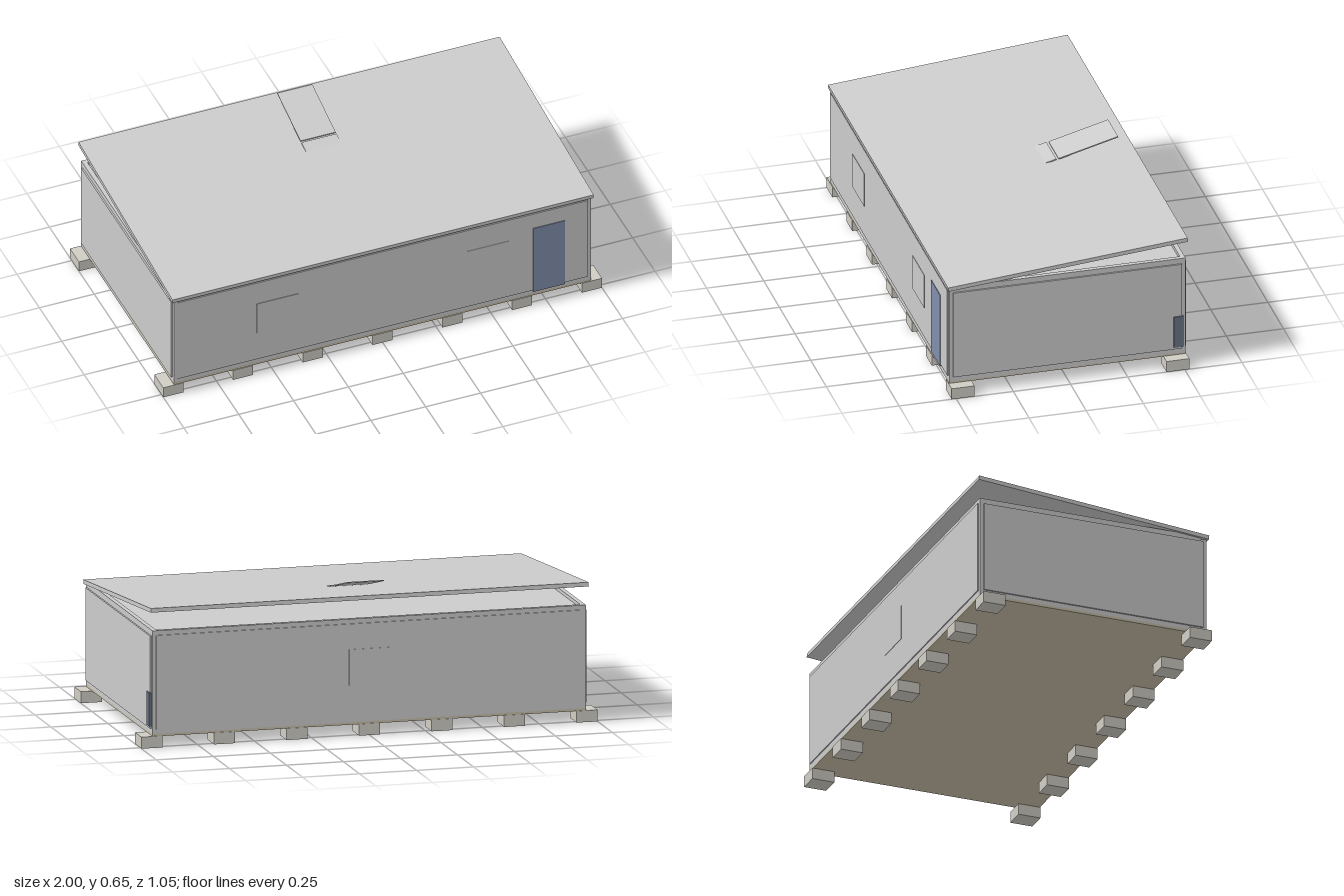
import * as THREE from 'three';

const paint = (color) => new THREE.MeshStandardMaterial({ color, flatShading: true });
const grey = paint(0xcccccc);
const concrete = paint(0xd0cdc4);
const floorPaint = paint(0xc8bfa8);
const doorBlue = paint(0x818ead);
const hatchBlue = paint(0x687384);

export function createModel() {
  const model = new THREE.Group();

  // Box given by its min and max on each axis
  const block = (name, [x0, x1], [y0, y1], [z0, z1], material = grey) => {
    const mesh = new THREE.Mesh(new THREE.BoxGeometry(x1 - x0, y1 - y0, z1 - z0), material);
    mesh.position.set((x0 + x1) / 2, (y0 + y1) / 2, (z0 + z1) / 2);
    mesh.name = name;
    model.add(mesh);
    return mesh;
  };

  // Sloping plate whose lower edge line runs between two (z, y) points
  const slope = (name, halfWidth, [z0, y0], [z1, y1], thickness) => {
    const length = Math.hypot(z1 - z0, y1 - y0);
    const mesh = new THREE.Mesh(new THREE.BoxGeometry(halfWidth * 2, thickness, length), grey);
    mesh.position.set(0, (y0 + y1) / 2 + thickness / 2, (z0 + z1) / 2);
    mesh.rotation.x = Math.atan2(y1 - y0, z0 - z1);
    mesh.name = name;
    model.add(mesh);
  };

  // Foundation blocks in two rows of seven
  for (const side of [-1, 1]) {
    for (let i = -3; i <= 3; i++) {
      const x = i * 0.318;
      block('foundationBlock', [x - 0.046, x + 0.046], [0, 0.05], [side * 0.47 - 0.05, side * 0.47 + 0.05], concrete);
    }
  }

  // Floor and wall core
  block('floor', [-0.95, 0.95], [0.049, 0.06], [-0.517, 0.517], floorPaint);
  block('wallCore', [-0.95, 0.95], [0.055, 0.49], [-0.517, 0.517]);

  // Raised cladding on each wall leaves notched corners
  for (const side of [-1, 1]) {
    block('endCladding', [side * 0.953 - 0.004, side * 0.953 + 0.004], [0.08, 0.48], [-0.5, 0.5]);
    block('longCladding', [-0.935, 0.935], [0.08, 0.485], [side * 0.519 - 0.003, side * 0.519 + 0.003]);
  }

  // Low rim around the flat ceiling
  for (const side of [-1, 1]) {
    block('endRim', [side * 0.94 - 0.01, side * 0.94 + 0.01], [0.488, 0.505], [-0.517, 0.49]);
  }
  block('backRim', [-0.95, 0.95], [0.488, 0.505], [-0.517, -0.497]);
  block('frontRim', [-0.95, 0.95], [0.488, 0.492], [0.497, 0.517]);

  // Door, windows and service hatch
  block('door', [0.685, 0.83], [0.073, 0.41], [0.51, 0.525], doorBlue);
  for (const x of [-0.48, 0.48]) {
    block('frontWindow', [x - 0.095, x + 0.095], [0.22, 0.375], [0.51, 0.524]);
  }
  block('backWindow', [-0.09, 0.09], [0.22, 0.375], [-0.524, -0.51]);
  block('serviceHatch', [0.945, 0.962], [0.09, 0.235], [-0.505, -0.463], hatchBlue);

  // Lean-to roof with two steeper skylight panels
  slope('roof', 0.96, [0.524, 0.492], [-0.524, 0.586], 0.018);
  slope('lowerSkylightPanel', 0.08, [0.068, 0.51], [-0.19, 0.578], 0.005);
  slope('upperSkylightPanel', 0.08, [-0.2, 0.579], [-0.46, 0.648], 0.005);
  block('roofProp', [-0.003, 0.003], [0.488, 0.516], [-0.067, -0.062]);

  return model;
}
